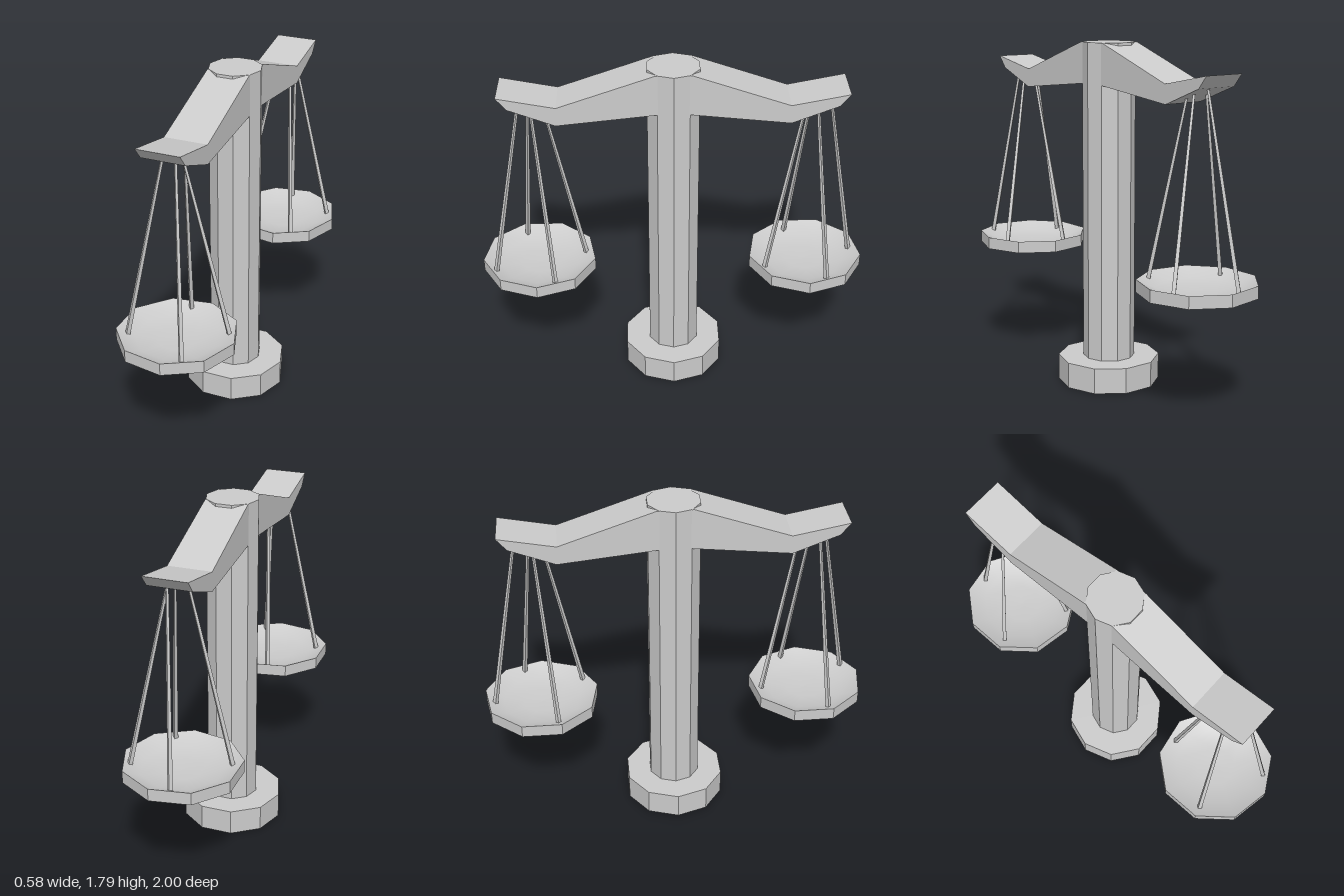
import * as THREE from 'three';

const CX = -0.01; // shared centre line of all parts

export function createModel() {
  const group = new THREE.Group();
  const flat = new THREE.MeshStandardMaterial({ color: 0xcccccc, flatShading: true });
  const smooth = new THREE.MeshStandardMaterial({ color: 0xcccccc });

  const add = (parent, name, geometry, material = flat) => {
    const mesh = new THREE.Mesh(geometry, material);
    mesh.name = name;
    parent.add(mesh);
    return mesh;
  };
  // upright prism with a corner pointing to +x
  const prism = (radius, y0, y1, sides) =>
    new THREE.CylinderGeometry(radius, radius, y1 - y0, sides)
      .rotateY(Math.PI / 2)
      .translate(0, (y0 + y1) / 2, 0);

  // ten-sided foot and column
  add(group, 'base', prism(0.267, 0, 0.135, 10)).position.set(CX, 0, -0.003);
  add(group, 'column', prism(0.136, 0.13, 1.795, 10)).position.set(CX, 0, -0.004);

  // beam: half profile (z, y) mirrored, extruded across x
  const half = [[0.09, 1.794], [0.57, 1.627], [0.857, 1.683], [0.805, 1.62], [0.575, 1.53], [0.08, 1.583]];
  const outline = [...half, ...half.map(([z, y]) => [-z, y]).reverse()];
  const beamShape = new THREE.Shape(outline.map(([z, y]) => new THREE.Vector2(z, y)));
  const beam = new THREE.ExtrudeGeometry(beamShape, { depth: 0.222, bevelEnabled: false })
    .translate(0, 0, -0.111)
    .rotateY(-Math.PI / 2);
  add(group, 'beam', beam).position.set(CX, 0, -0.004);

  // hanging rods: [bottom x, bottom z, top x, top z] from the pan centre
  const rods = [
    [0.24, -0.094, 0.05, -0.009],
    [0.13, 0.226, 0.04, 0.051],
    [-0.23, 0.086, -0.045, 0.011],
    [-0.04, -0.247, 0.025, -0.074],
  ];
  const up = new THREE.Vector3(0, 1, 0);

  for (const side of [1, -1]) {
    const scale = new THREE.Group();
    scale.name = side > 0 ? 'frontPan' : 'backPan';
    scale.position.set(CX, 0, side * 0.704);
    group.add(scale);

    // nine-sided pan: flat wall, flat underside, hollow dish inside
    add(scale, 'panWall', new THREE.CylinderGeometry(0.3, 0.3, 0.064, 9, 1, true)
      .rotateY(Math.PI / 2).translate(0, 0.656, 0));
    add(scale, 'panUnderside', new THREE.CircleGeometry(0.3, 9)
      .rotateX(Math.PI / 2).translate(0, 0.624, 0));
    const dish = [[0.3, 0.688], [0.21, 0.648], [0.1, 0.637], [0, 0.635]];
    add(scale, 'panDish', new THREE.LatheGeometry(dish.map(([r, y]) => new THREE.Vector2(r, y)), 9)
      .rotateY(Math.PI / 2), smooth);

    // four tapered rods up into the beam, leaning inward
    for (const [bx, bz, tx, tz] of rods) {
      const bottom = new THREE.Vector3(bx, 0.645, bz);
      const top = new THREE.Vector3(tx, 1.573 + 0.39 * (side * tz) + 0.022, tz);
      const span = top.clone().sub(bottom);
      const rod = add(scale, 'rod', new THREE.CylinderGeometry(0.008, 0.014, span.length(), 4));
      rod.position.copy(bottom).addScaledVector(span, 0.5);
      rod.quaternion.setFromUnitVectors(up, span.normalize());
    }
  }
  return group;
}
